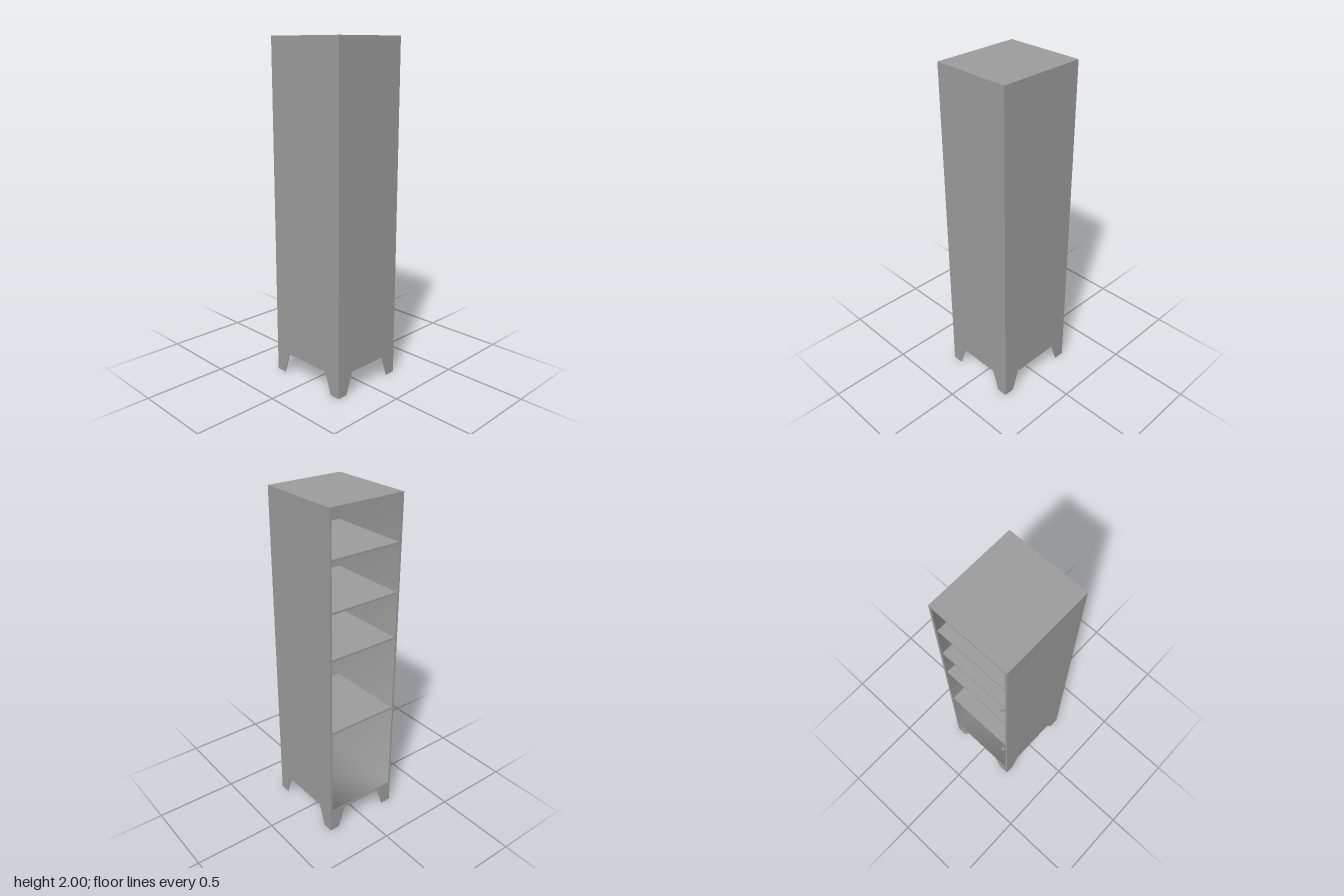
import * as THREE from 'three';
import { mergeVertices } from 'three/addons/utils/BufferGeometryUtils.js';

const X0 = -0.256, X1 = 0.271, Z0 = -0.238, Z1 = 0.237;
const W = X1 - X0, D = Z1 - Z0, CX = (X0 + X1) / 2, CZ = (Z0 + Z1) / 2;
const H = 2, T = 0.004, FLOOR = 0.13;
const RIM = 0.014, OPEN_BOTTOM = 0.145, OPEN_TOP = H - 0.014;
const mat = new THREE.MeshStandardMaterial({ color: 0x9b9b9b });

function add(parent, name, geometry, x = 0, y = 0, z = 0) {
  const mesh = new THREE.Mesh(geometry, mat);
  mesh.name = name;
  mesh.position.set(x, y, z);
  parent.add(mesh);
  return mesh;
}

// Upright panel with a tapered cut-out between its two feet
function panelGeometry(width, open) {
  const h = width / 2, foot = 0.064, shoulder = 0.108;
  const shape = new THREE.Shape([
    [-h, 0], [-h + foot, 0], [-h + shoulder, FLOOR],
    [h - shoulder, FLOOR], [h - foot, 0], [h, 0], [h, H], [-h, H],
  ].map(([x, y]) => new THREE.Vector2(x, y)));
  if (open) {
    const s = h - RIM;
    shape.holes.push(new THREE.Path([
      [-s, OPEN_BOTTOM], [-s, OPEN_TOP], [s, OPEN_TOP], [s, OPEN_BOTTOM],
    ].map(([x, y]) => new THREE.Vector2(x, y))));
  }
  return new THREE.ExtrudeGeometry(shape, { depth: T, bevelEnabled: false });
}

// Inward-facing box without its open side, softly shaded across the corners
function liningGeometry() {
  const box = new THREE.BoxGeometry(W - RIM, OPEN_TOP - OPEN_BOTTOM, D - 2 * RIM);
  const index = Array.from(box.index.array).slice(6);
  for (let i = 0; i < index.length; i += 3) [index[i], index[i + 1]] = [index[i + 1], index[i]];
  box.setIndex(index);
  box.clearGroups();
  box.scale(-1, 1, 1);
  // Mirroring already turns the faces inward, so restore their winding
  for (let i = 0; i < index.length; i += 3) [index[i], index[i + 1]] = [index[i + 1], index[i]];
  box.setIndex(index);
  box.deleteAttribute('normal');
  box.deleteAttribute('uv');
  const lining = mergeVertices(box);
  lining.computeVertexNormals();
  return lining;
}

export function createModel() {
  const cabinet = new THREE.Group();
  cabinet.name = 'cabinet';

  // Walls: three closed, one open towards the shelves
  add(cabinet, 'frontPanel', panelGeometry(W, false), CX, 0, Z1 - T);
  add(cabinet, 'backPanel', panelGeometry(W, false), CX, 0, Z0);
  add(cabinet, 'closedSide', panelGeometry(D, false), X1 - T, 0, CZ).rotation.y = Math.PI / 2;
  add(cabinet, 'openSideFrame', panelGeometry(D, true), X0, 0, CZ).rotation.y = Math.PI / 2;
  add(cabinet, 'lining', liningGeometry(), CX - RIM / 2, (OPEN_BOTTOM + OPEN_TOP) / 2, CZ);

  // Top and underside
  add(cabinet, 'top', new THREE.BoxGeometry(W, T, D), CX, H - T / 2, CZ);
  add(cabinet, 'underside', new THREE.BoxGeometry(W - T, T, D - T), CX, FLOOR + T / 2, CZ);

  // Shelves, let into the walls
  [0.707, 1.176, 1.451, 1.736].forEach((y, i) => {
    add(cabinet, `shelf${i + 1}`, new THREE.BoxGeometry(W - RIM, 0.012, D - 1.5 * RIM), CX, y - 0.005, CZ);
  });

  // Small upright handles beside the opening
  for (const [name, y] of [['lowerHandle', 0.64], ['upperHandle', 1.457]]) {
    const handle = new THREE.Group();
    handle.name = name;
    handle.position.set(-0.266, y, 0.213);
    add(handle, 'grip', new THREE.CylinderGeometry(0.007, 0.007, 0.036, 16));
    add(handle, 'stem', new THREE.BoxGeometry(0.014, 0.03, 0.004), 0.006, 0, 0.004).rotation.y = -0.6;
    cabinet.add(handle);
  }
  return cabinet;
}
